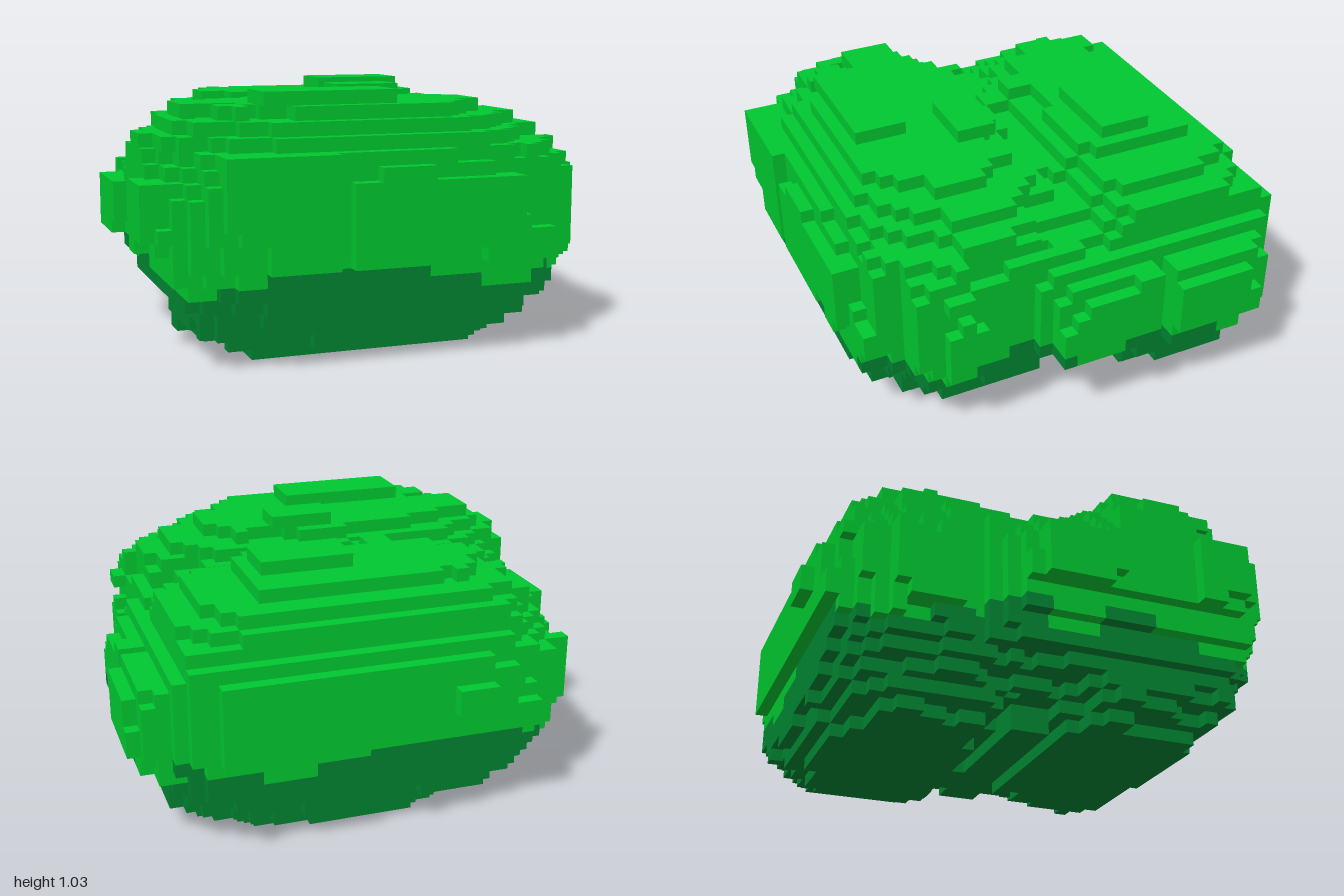
import * as THREE from 'three';

// Block grid: 37 wide, 19 high, 35 deep
const NX = 37, NY = 19, NZ = 35, S = 2 / NX;

// Rounded mounds: centre, plan radii, radius above and below the centre
const mounds = [
  { c: [-0.1, 0.5, 0.42], rx: 0.94, rz: 0.54, up: 0.53, down: 0.55 },
  { c: [0.09, 0.49, -0.42], rx: 0.94, rz: 0.52, up: 0.53, down: 0.54 },
  { c: [-0.02, 0.48, 0], rx: 0.97, rz: 0.4, up: 0.4, down: 0.42 },
];

// Leaf clumps in blocks: x from/to, y from/to, z from/to
const clumps = [
  [9, 19, 18, 19, 26, 30], [17, 22, 18, 19, 20, 23], [19, 26, 18, 19, 9, 13],
  [0, 4, 8, 12, 15, 20], [0, 4, 9, 13, 27, 31], [1, 6, 12, 16, 23, 26],
  [4, 9, 15, 18, 22, 26], [33, 37, 7, 11, 6, 11], [32, 36, 6, 11, 15, 18],
  [31, 34, 8, 10, 26, 29], [11, 14, 9, 11, 0, 3], [5, 13, 10, 15, 32, 35],
  [16, 27, 8, 13, 33, 35], [10, 26, 0, 2, 16, 19], [3, 7, 7, 11, 5, 9],
  [30, 36, 6, 9, 5, 8], [22, 31, 14, 17, 7, 10],
];

// Limits of each layer from the ground up: x from/to, z from/to
const layers = [
  [6, 29, 4, 30], [4, 32, 3, 32], [4, 34, 2, 32], [4, 34, 2, 33], [3, 34, 2, 34],
  [3, 36, 2, 34], [2, 36, 2, 34], [2, 37, 1, 35], [0, 37, 1, 35], [0, 37, 0, 35],
  [0, 37, 0, 35], [0, 36, 1, 35], [0, 34, 1, 35], [1, 33, 2, 35], [1, 33, 3, 35],
  [1, 33, 3, 33], [3, 31, 4, 32], [4, 27, 6, 31], [9, 26, 9, 30],
];

// Plan outline from back to front: number of rows, x from/to
const outline = [
  [1, 11, 14], [1, 7, 31], [1, 7, 33], [1, 5, 34], [1, 5, 36], [5, 3, 37], [1, 4, 37],
  [1, 5, 37], [1, 4, 34], [1, 3, 36], [7, 0, 36], [1, 1, 34], [4, 1, 33], [1, 1, 34],
  [2, 0, 34], [2, 0, 33], [1, 0, 30], [1, 3, 30], [1, 4, 30], [1, 4, 28],
].flatMap(([n, a, b]) => Array.from({ length: n }, () => [a, b]));

// Height in blocks of the dark underside, along x and along z
const darkAlongX = [6, 6, 7, 7, 7, 6, 5, 6, 6, 6];
const darkAlongZ = [7, 5, 6, 7, 5, 7, 6, 5, 5];

// Repeatable uneven value from -1 to 1
function uneven(a, b, c) {
  const v = Math.sin(a * 12.99 + b * 78.23 + c * 37.72) * 43758.55;
  return (v - Math.floor(v)) * 2 - 1;
}

const centre = (i, j, k) => [(i + 0.5 - NX / 2) * S, (j + 0.5) * S, (k + 0.5 - NZ / 2) * S];

function inMound(m, p, limit) {
  const x = Math.abs(p[0] - m.c[0]) / m.rx;
  const y = Math.abs(p[1] - m.c[1]) / (p[1] > m.c[1] ? m.up : m.down);
  const z = Math.abs(p[2] - m.c[2]) / m.rz;
  return (x ** 2.7 + z ** 2.7) ** (2.2 / 2.7) + y ** 2.2 < limit;
}

function isFilled(i, j, k) {
  if (j < 0 || j >= NY || k < 0 || k >= NZ) return false;
  const [x0, x1, z0, z1] = layers[j];
  if (i < x0 || i >= x1 || k < z0 || k >= z1) return false;
  if (i < outline[k][0] || i >= outline[k][1]) return false;
  // Groove under the bush and notch in its front edge
  if ((j === 0 && k === 19) || (k === 34 && i === 13)) return false;
  if (clumps.some(([a, b, c, d, e, f]) => i >= a && i < b && j >= c && j < d && k >= e && k < f)) return true;
  if (j === 18) return false;
  const limit = 1 + 0.1 * uneven(Math.floor(i / 4), Math.floor(j / 3), Math.floor(k / 3));
  const p = centre(i, j, k);
  return mounds.some((m) => inMound(m, p, limit));
}

function isDark(i, j, k) {
  const p = centre(i, j, k);
  const alongX = Math.abs(p[2]) > Math.abs(p[0]);
  return j < (alongX ? darkAlongX[Math.floor(i / 4)] : darkAlongZ[Math.floor(k / 4)]);
}

// Adds one square block face on the given axis and side
function addFace(positions, p, axis, side) {
  const u = (axis + 1) % 3, v = (axis + 2) % 3, h = S / 2;
  const corners = [[-1, -1], [1, -1], [1, 1], [-1, 1]].map(([a, b]) => {
    const q = [...p];
    q[axis] += side * h;
    q[u] += a * h;
    q[v] += b * h;
    return q;
  });
  const order = side > 0 ? [0, 1, 2, 0, 2, 3] : [0, 2, 1, 0, 3, 2];
  order.forEach((n) => positions.push(...corners[n]));
}

function makeMesh(name, positions, material) {
  const geometry = new THREE.BufferGeometry();
  geometry.setAttribute('position', new THREE.Float32BufferAttribute(positions, 3));
  geometry.computeVertexNormals();
  const mesh = new THREE.Mesh(geometry, material);
  mesh.name = name;
  return mesh;
}

export function createModel() {
  const leafGreen = new THREE.MeshStandardMaterial({ color: 0x00c830 });
  leafGreen.name = 'leaf green';
  const shadeGreen = new THREE.MeshStandardMaterial({ color: 0x008532 });
  shadeGreen.name = 'deep green';

  // Keep only the outer faces of the blocks
  const upper = [], lower = [];
  for (let i = 0; i < NX; i++) for (let j = 0; j < NY; j++) for (let k = 0; k < NZ; k++) {
    if (!isFilled(i, j, k)) continue;
    const target = isDark(i, j, k) ? lower : upper;
    for (let axis = 0; axis < 3; axis++) for (const side of [-1, 1]) {
      const next = [i, j, k];
      next[axis] += side;
      if (!isFilled(...next)) addFace(target, centre(i, j, k), axis, side);
    }
  }

  const bush = new THREE.Group();
  bush.name = 'bush';
  bush.add(makeMesh('upperLeaves', upper, leafGreen), makeMesh('lowerLeaves', lower, shadeGreen));
  return bush;
}
